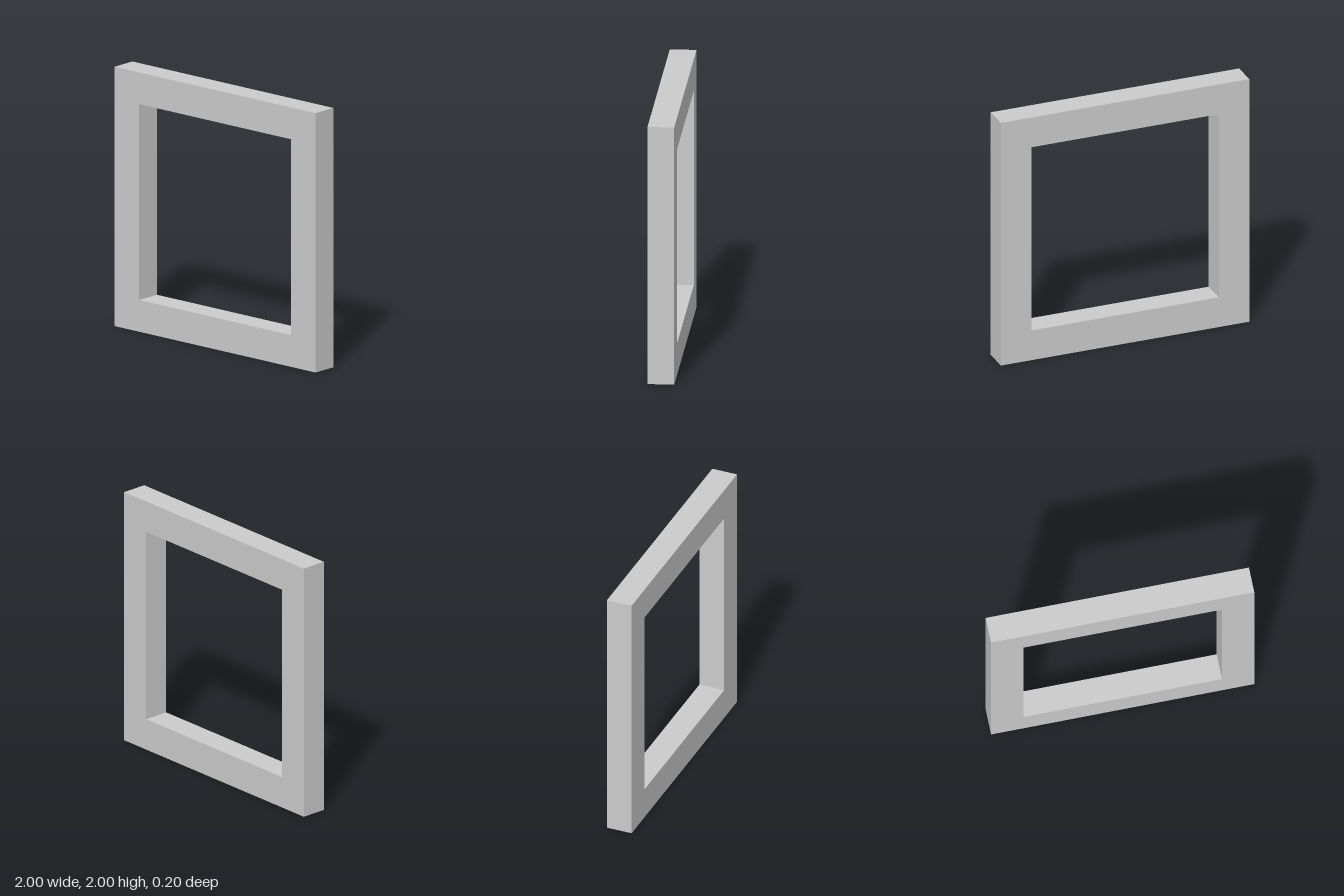
import * as THREE from 'three';

const SIZE = 2, BORDER = 0.245, DEPTH = 0.2;

// Corner points of a square centred on x = 0, y = SIZE / 2
function squarePoints(half) {
  return [[-1, -1], [1, -1], [1, 1], [-1, 1]].map(
    ([x, y]) => new THREE.Vector2(x * half, SIZE / 2 + y * half));
}

export function createModel() {
  const group = new THREE.Group();
  group.name = 'squareFrame';

  // Square slab with a square opening
  const outline = new THREE.Shape(squarePoints(SIZE / 2));
  outline.holes.push(new THREE.Path(squarePoints(SIZE / 2 - BORDER).reverse()));
  const geometry = new THREE.ExtrudeGeometry(outline, { depth: DEPTH, bevelEnabled: false });
  geometry.translate(0, 0, -DEPTH / 2);

  const frame = new THREE.Mesh(
    geometry, new THREE.MeshStandardMaterial({ color: 0xcccccc, flatShading: true }));
  frame.name = 'frame';
  group.add(frame);
  return group;
}
